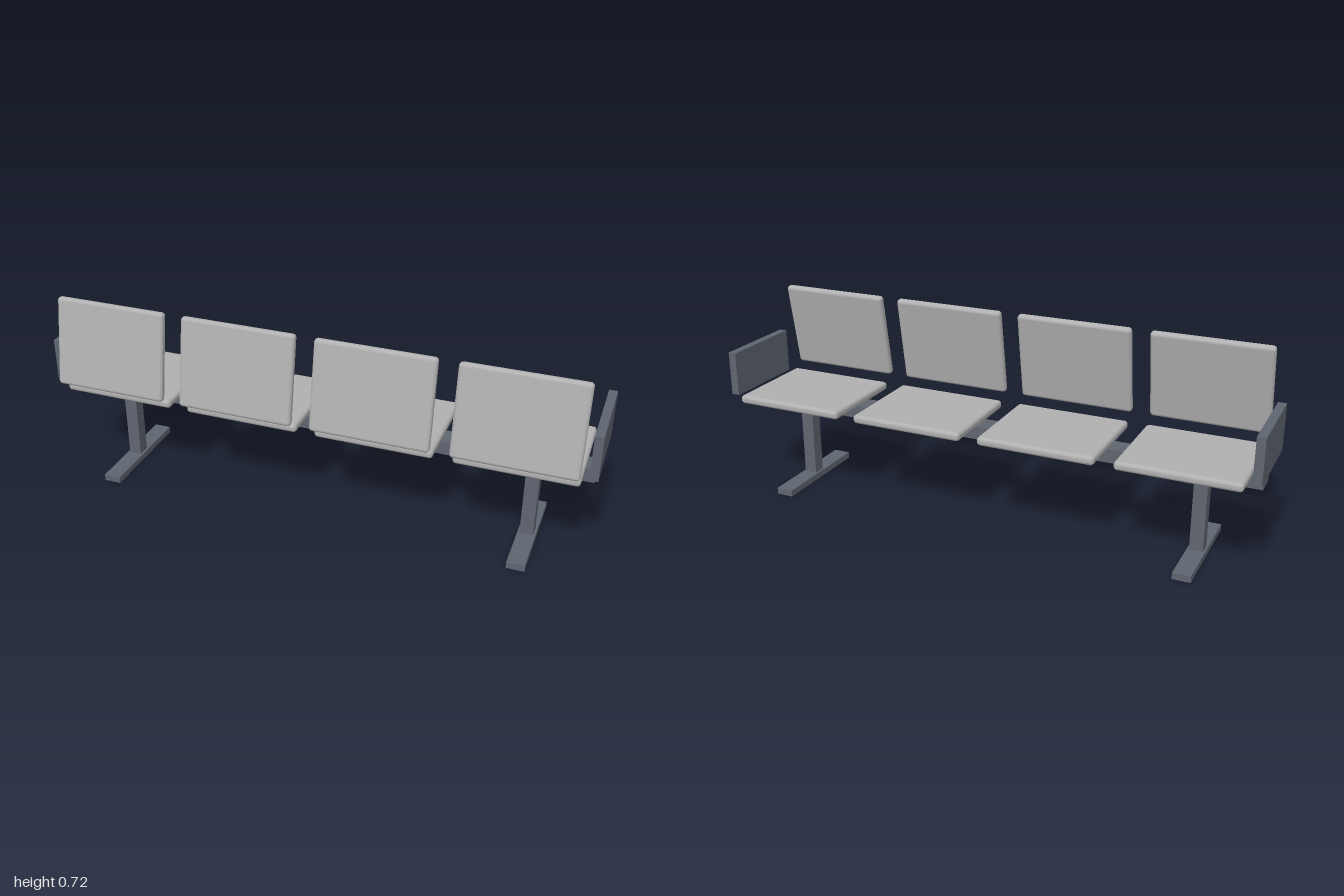
import * as THREE from 'three';
import { RoundedBoxGeometry } from 'three/addons/geometries/RoundedBoxGeometry.js';

export function createModel() {
  const bench = new THREE.Group();
  bench.name = 'bench';

  const frame = new THREE.MeshStandardMaterial({ color: 0x5f6570 });
  frame.name = 'slate frame';
  const pad = new THREE.MeshStandardMaterial({ color: 0xb0b0b0 });
  pad.name = 'light grey pad';

  const add = (name, geometry, material, x, y, z) => {
    const mesh = new THREE.Mesh(geometry, material);
    mesh.name = name;
    mesh.position.set(x, y, z);
    bench.add(mesh);
    return mesh;
  };

  // Long beam carrying the seats
  add('beam', new THREE.BoxGeometry(1.963, 0.049, 0.081), frame, 0, 0.3215, -0.0075);

  // Legs, feet and end panels, mirrored
  const legGeo = new THREE.BoxGeometry(0.048, 0.273, 0.048);
  const footGeo = new THREE.BoxGeometry(0.064, 0.024, 0.409);
  const armGeo = new THREE.BoxGeometry(0.03, 0.165, 0.329);
  for (const [side, s] of [['left', 1], ['right', -1]]) {
    add(side + 'Leg', legGeo, frame, s * 0.776, 0.1605, -0.0085);
    add(side + 'Foot', footGeo, frame, s * 0.776, 0.012, -0.0075);
    add(side + 'ArmPanel', armGeo, frame, s * 0.985, 0.4525, -0.0245);
  }

  // Four cushions with tilted backrests
  const seatGeo = new RoundedBoxGeometry(0.424, 0.032, 0.37, 4, 0.013);
  const backGeo = new RoundedBoxGeometry(0.424, 0.328, 0.031, 4, 0.013);
  for (let i = 0; i < 4; i++) {
    const x = (i - 1.5) * 0.491;
    add('seat' + (i + 1), seatGeo, pad, x, 0.362, -0.024);
    const back = add('backrest' + (i + 1), backGeo, pad, x, 0.56, 0.173);
    back.rotation.x = THREE.MathUtils.degToRad(-10);
  }
  return bench;
}
